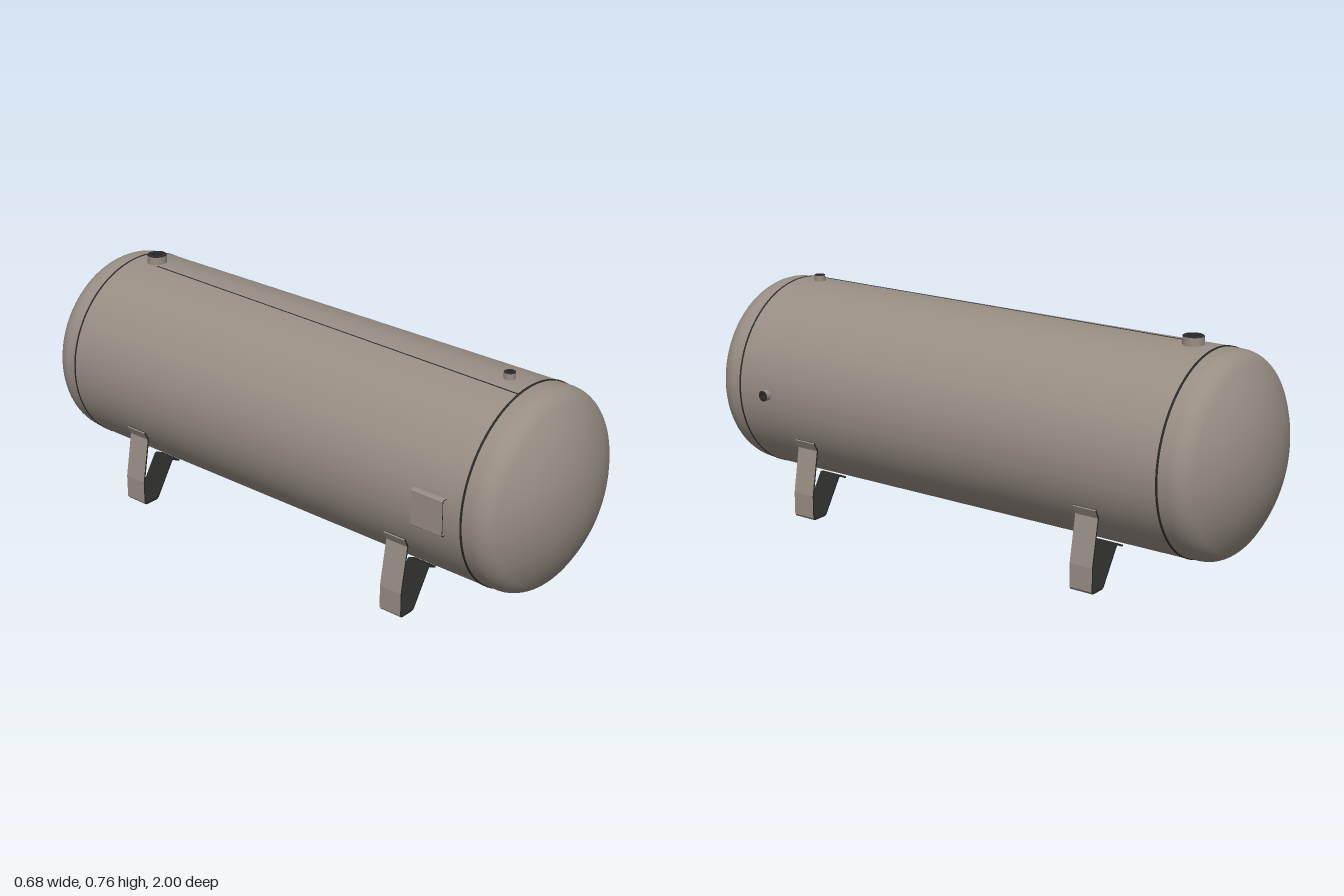
import * as THREE from 'three';

const CX = -0.005, CY = 0.406, R = 0.323; // tank axis and shell radius

export function createModel() {
  const model = new THREE.Group();
  model.name = 'pressureTank';
  const steel = new THREE.MeshStandardMaterial({ color: 0x988e84 });
  steel.name = 'warm grey steel';
  const dark = new THREE.MeshStandardMaterial({ color: 0x2a2b28 });
  dark.name = 'dark edge';

  const add = (name, geometry, material, parent = model) => {
    const mesh = new THREE.Mesh(geometry, material);
    mesh.name = name;
    parent.add(mesh);
    return mesh;
  };
  const v2 = (x, y) => new THREE.Vector2(x, y);

  // Everything concentric with the tank is built along +y, then laid along z
  const tank = new THREE.Group();
  tank.name = 'tank';
  tank.position.set(CX, CY, 0);
  tank.rotation.x = Math.PI / 2;
  model.add(tank);
  add('shell', new THREE.CylinderGeometry(R, R, 1.62, 96, 1, true), steel, tank);

  // Dished head: straight skirt, knuckle arc, shallow crown arc
  const crown = 0.5, knuckle = 0.08, rim = 0.321;
  const kr = rim - knuckle;
  const tangent = Math.asin(kr / (crown - knuckle));
  const ky = 1 - crown + (crown - knuckle) * Math.cos(tangent);
  const profile = [v2(rim, 0.8)];
  for (let i = 0; i <= 12; i++) {
    const a = (i / 12) * (Math.PI / 2 - tangent);
    profile.push(v2(kr + knuckle * Math.cos(a), ky + knuckle * Math.sin(a)));
  }
  for (let i = 1; i <= 14; i++) {
    const a = tangent * (1 - i / 14);
    profile.push(v2(crown * Math.sin(a), 1 - crown + crown * Math.cos(a)));
  }
  for (const end of [1, -1]) {
    const head = add(end > 0 ? 'frontHead' : 'backHead', new THREE.LatheGeometry(profile, 96), steel, tank);
    if (end < 0) head.rotation.x = Math.PI;
    // Dark joint between shell and head
    const joint = [v2(0.3205, -0.003), v2(R + 0.001, -0.003), v2(R + 0.001, 0.003), v2(0.3205, 0.003)];
    add('headJoint', new THREE.LatheGeometry(joint, 96), dark, tank).position.y = end * 0.809;
  }

  // Thin seam line lying on the shell between two points
  const seam = (name, x0, z0, x1, z1, side) => {
    const point = (x, z) => new THREE.Vector3(x, CY + side * Math.sqrt(R * R - (x - CX) ** 2), z);
    const a = point(x0, z0), b = point(x1, z1);
    const line = add(name, new THREE.BoxGeometry(0.003, 0.003, a.distanceTo(b)), dark);
    line.position.copy(a).add(b).multiplyScalar(0.5);
    line.lookAt(b);
  };
  seam('topSeam', -0.035, -0.7, -0.07, 0.805, 1);
  seam('bottomSeam', CX, -0.7, CX, 0.805, -1);

  // Threaded pipe socket standing along its own +y
  const socket = (name, r, bore, height, x, y, z, rx, rz) => {
    const group = new THREE.Group();
    group.name = name;
    group.position.set(x, y, z);
    group.rotation.set(rx, 0, rz);
    model.add(group);
    const c = 0.002;
    add('socketWall', new THREE.LatheGeometry([v2(r, 0), v2(r, height - c)], 32), steel, group);
    add('socketRim', new THREE.LatheGeometry(
      [v2(r, height - c), v2(r - c, height), v2(bore, height)], 32), dark, group);
    add('socketBore', new THREE.LatheGeometry(
      [v2(bore, height), v2(bore, height * 0.5), v2(0, height * 0.5)], 32), dark, group);
  };
  socket('topBackSocket', 0.033, 0.017, 0.046, CX, 0.71, -0.73, 0, 0);
  socket('topFrontSocket', 0.018, 0.009, 0.03, CX, 0.72, 0.73, 0, 0);
  socket('bottomDrainSocket', 0.015, 0.008, 0.03, CX, 0.094, -0.725, Math.PI, 0);
  socket('leftSideSocket', 0.018, 0.01, 0.03, 0.308, CY, 0.69, 0, -Math.PI / 2);

  // Bent sheet: a path offset to its left by d0 and d1, extruded along z
  const offsetPath = (path, d) => path.map((p, i) => {
    const before = i > 0 ? p.clone().sub(path[i - 1]).normalize() : null;
    const after = i < path.length - 1 ? path[i + 1].clone().sub(p).normalize() : null;
    const u = before || after, w = after || before;
    const n = v2(-u.y - w.y, u.x + w.x).normalize();
    return p.clone().addScaledVector(n, d / (n.x * -u.y + n.y * u.x));
  });
  const sheet = (path, d0, d1, width, mirror = 1) => {
    const outline = [...offsetPath(path, d0), ...offsetPath(path, d1).reverse()];
    const shape = new THREE.Shape(outline.map((p) => v2(p.x * mirror, p.y)));
    const geometry = new THREE.ExtrudeGeometry(shape, { depth: width, bevelEnabled: false });
    geometry.translate(0, 0, -width / 2);
    return geometry;
  };

  // Four bent strap legs, with shell flanges, flat feet and small bevels at the foot
  const legPath = [[0.296, 0.265], [0.281, 0.236], [0.308, 0.085], [0.308, 0.011], [0.303, 0.005],
    [0.256, 0.005], [0.249, 0.009], [0.179, 0.121], [0.172, 0.122], [0.143, 0.108]].map(([x, y]) => v2(x, y));
  for (const side of [1, -1]) {
    for (const z of [0.55, -0.55]) {
      const leg = new THREE.Group();
      leg.name = (z > 0 ? 'front' : 'back') + (side > 0 ? 'Left' : 'Right') + 'Leg';
      leg.position.set(CX, 0, z);
      model.add(leg);
      add('strapOuter', sheet(legPath, 0, 0.004, 0.08, side), [dark, steel], leg);
      add('strapInner', sheet(legPath, -0.002, 0, 0.08, side), dark, leg);
      const hole = add('boltHole', new THREE.CylinderGeometry(0.008, 0.008, 0.002, 20), dark, leg);
      hole.position.set(side * 0.28, 0.001, 0);
    }
  }

  // Folded nameplate bracket on the right side
  const bracketPath = [[-0.32, 0.464], [-0.335, 0.464], [-0.338, 0.461], [-0.338, 0.351],
    [-0.335, 0.348], [-0.32, 0.348]].map(([x, y]) => v2(x, y));
  add('plateBracket', sheet(bracketPath, -0.0015, 0.0015, 0.115), [dark, steel]).position.z = 0.695;

  return model;
}
